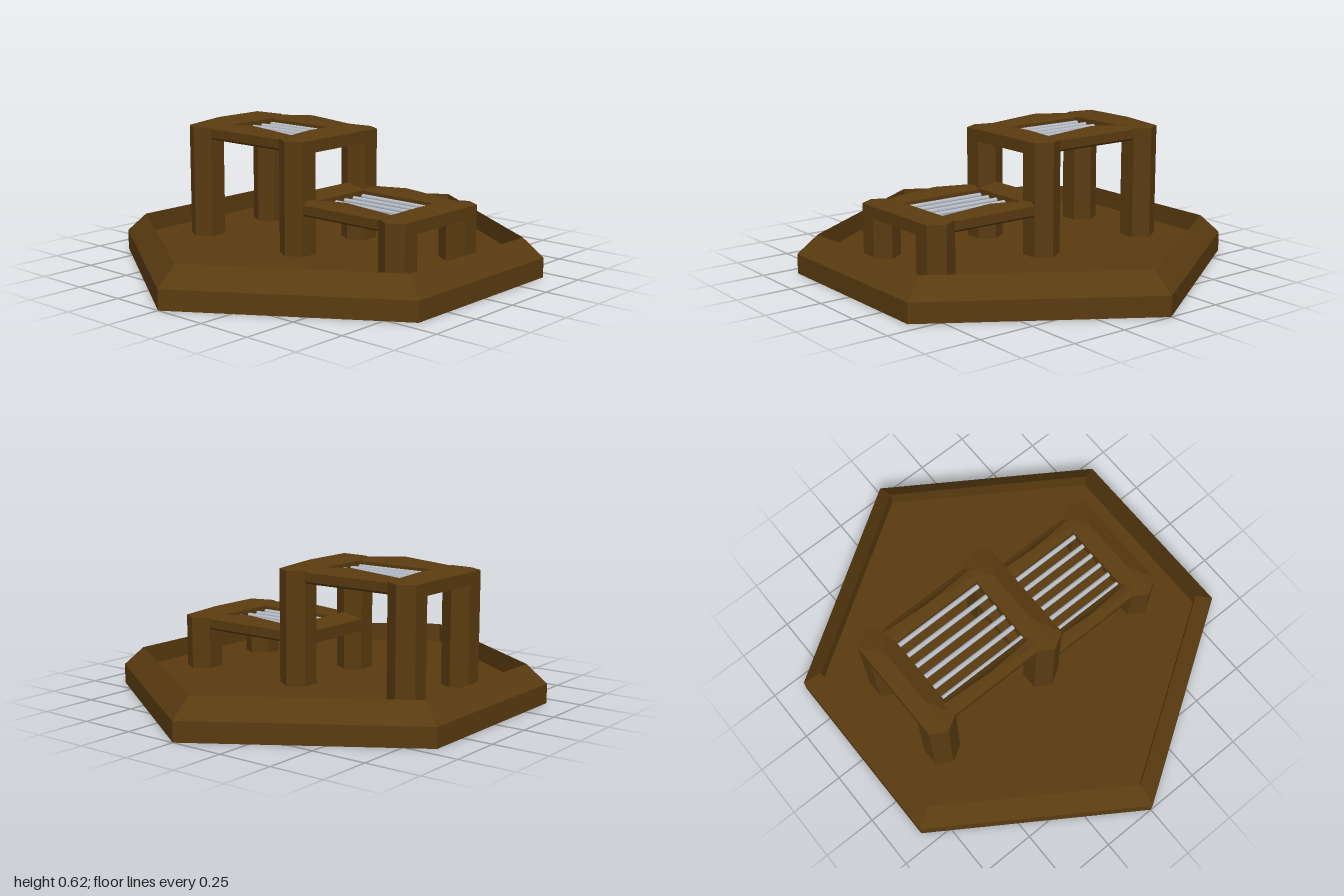
import * as THREE from 'three';

const wood = new THREE.MeshStandardMaterial({ color: 0x5a3b10, flatShading: true });
const steel = new THREE.MeshStandardMaterial({ color: 0xb4bac4 });

// Skin a stack of rings (arrays of [x, y, z], counter-clockwise from above) from bottom to top
function loft(rings) {
  const pos = [];
  const tri = (...pts) => {
    const [a, b, c] = pts.map((p) => new THREE.Vector3(...p));
    if (b.clone().sub(a).cross(c.clone().sub(a)).length() > 1e-8) pts.forEach((p) => pos.push(...p));
  };
  for (let r = 0; r + 1 < rings.length; r++) {
    const lo = rings[r], hi = rings[r + 1], n = lo.length;
    for (let i = 0; i < n; i++) {
      const j = (i + 1) % n;
      tri(lo[i], lo[j], hi[j]);
      tri(lo[i], hi[j], hi[i]);
    }
  }
  const geo = new THREE.BufferGeometry();
  geo.setAttribute('position', new THREE.Float32BufferAttribute(pos, 3));
  geo.computeVertexNormals();
  return geo;
}

// Six-cornered outline with points on +z and -z
const hexagon = (w, shoulder, tip) => [
  [0, tip], [w, shoulder], [w, -shoulder], [0, -tip], [-w, -shoulder], [-w, shoulder],
];
const ringAt = (outline, y, sx = 1, sz = sx) => outline.map(([x, z]) => [x * sx, y, z * sz]);

function add(parent, name, geo, mat, x = 0, y = 0, z = 0) {
  const mesh = new THREE.Mesh(geo, mat);
  mesh.name = name;
  mesh.position.set(x, y, z);
  parent.add(mesh);
  return mesh;
}

const FLOOR = 0.085, POST_Z = 0.205;

// Pair of hexagonal posts at one x
function addPosts(parent, x, top) {
  for (const s of [1, -1]) {
    const h = top - FLOOR;
    add(parent, 'post', new THREE.CylinderGeometry(0.081, 0.081, h, 6), wood, x, FLOOR + h / 2, s * POST_Z);
  }
}

// Beam joining a pair of posts, with a hipped top
function addCrossBeam(parent, x, top) {
  const plan = hexagon(0.07, 0.245, 0.285);
  const ridge = plan.map(([, z]) => [0, top, Math.sign(z) * 0.125]);
  const geo = loft([
    ringAt(plan, top - 0.085, 0),
    ringAt(plan, top - 0.085),
    ringAt(plan, top - 0.03),
    ridge,
  ]);
  add(parent, 'crossBeam', geo, wood, x);
}

// Two side rails, peaked at mid-length, and the rods between them
function addDeck(parent, x0, x1, top) {
  const deck = new THREE.Group();
  deck.name = 'deck';
  parent.add(deck);
  const mid = (x0 + x1) / 2, half = (x1 - x0) / 2 + 0.02;
  const plan = [[-half, 0.042], [half, 0.042], [half, -0.042], [-half, -0.042]];
  const rail = loft([
    ringAt(plan, top - 0.085, 0),
    ringAt(plan, top - 0.085, 1, 0.75),
    ringAt(plan, top - 0.075),
    ringAt(plan, top - 0.035),
    ringAt(plan, top - 0.022, 1, 0.5),
    ringAt(plan, top, 0),
  ]);
  for (const s of [1, -1]) add(deck, 'sideRail', rail, wood, mid, 0, s * 0.203);
  for (let i = 0; i < 6; i++) {
    const rod = new THREE.CylinderGeometry(0.011, 0.011, 2 * half, 12);
    add(deck, 'rod', rod, steel, mid, top - 0.058, -0.15 + i * 0.06).rotation.z = Math.PI / 2;
  }
}

export function createModel() {
  const model = new THREE.Group();
  model.name = 'steppedPlatform';

  // Hexagonal tray with a bevelled rim and sunken floor
  const plan = hexagon(0.865, 0.435, 1);
  const tray = loft([
    ringAt(plan, 0, 0),
    ringAt(plan, 0),
    ringAt(plan, 0.088),
    ringAt(plan, 0.172, 0.905),
    ringAt(plan, FLOOR, 0.904),
    ringAt(plan, FLOOR, 0),
  ]);
  add(model, 'baseTray', tray, wood);

  // Posts: two tall pairs, one short pair
  const HIGH = 0.62, LOW = 0.35;
  const xs = [-0.56, 0.012, 0.572];
  xs.forEach((x, i) => addPosts(model, x, (i < 2 ? HIGH : LOW) - 0.03));

  // Cross beams at both levels
  addCrossBeam(model, xs[0], HIGH);
  addCrossBeam(model, xs[1], HIGH);
  addCrossBeam(model, xs[1], LOW);
  addCrossBeam(model, xs[2], LOW);

  // Upper and lower decks
  addDeck(model, -0.485, -0.06, HIGH);
  addDeck(model, 0.085, 0.5, LOW);
  return model;
}
